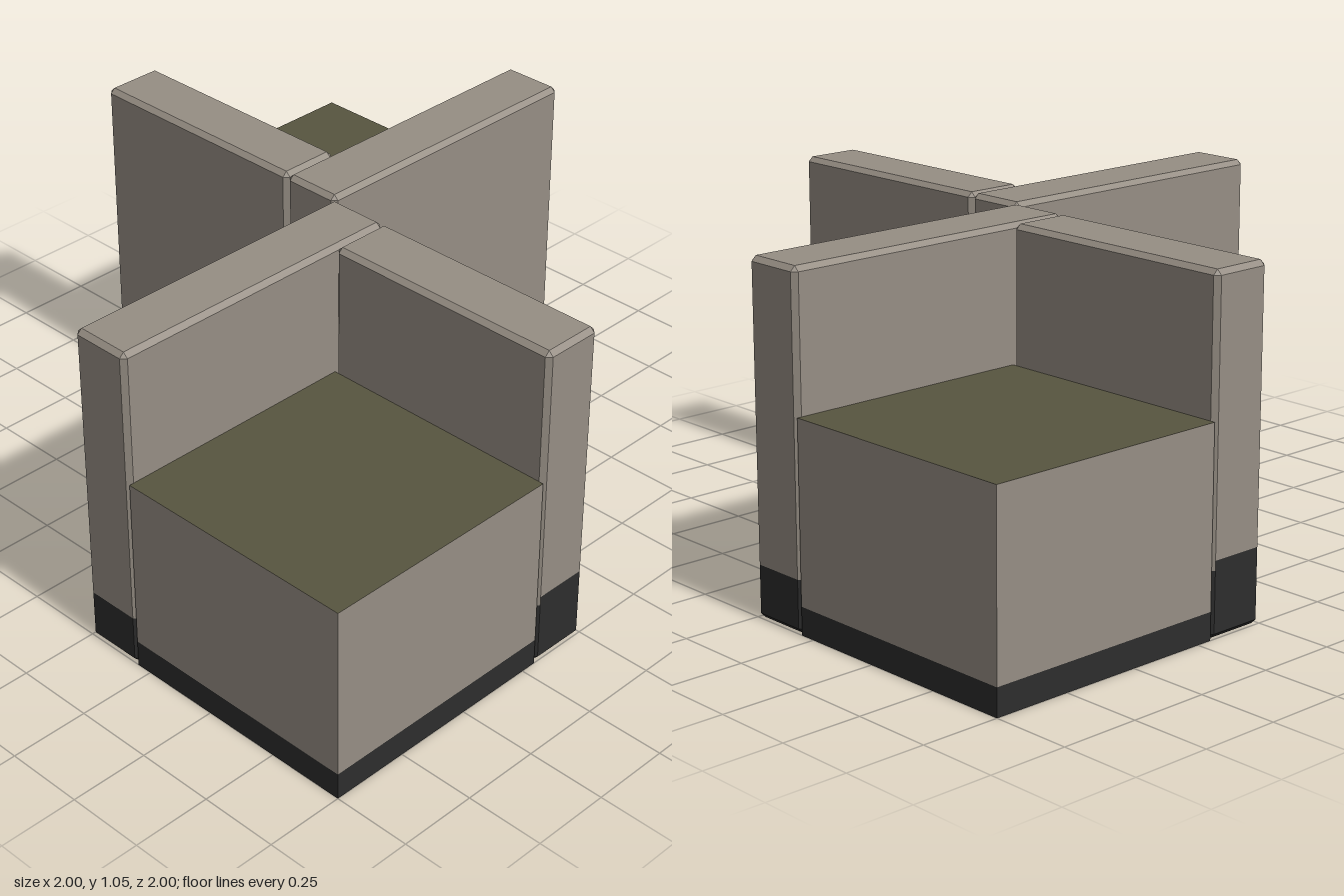
import * as THREE from 'three';

const HEIGHT = 1.05;
const BEVEL = 0.015;

const fabric = new THREE.MeshStandardMaterial({ name: 'taupe fabric', color: 0x968e84 });
const plinth = new THREE.MeshStandardMaterial({ name: 'charcoal base', color: 0x2d2d2d });
const cushion = new THREE.MeshStandardMaterial({ name: 'olive cushion', color: 0x575540 });

// Bevelled upright panel; bands = base height on the front, right, back and left faces
function panel(name, x0, x1, z0, z1, bands) {
  const c = BEVEL;
  // Two points per face, running front, right, back, left; inset rings collapse onto the corners
  const ring = (inset) => {
    const a = inset ? c : 0;
    return [
      [x0 + c, z1 - a], [x1 - c, z1 - a],
      [x1 - a, z1 - c], [x1 - a, z0 + c],
      [x1 - c, z0 + a], [x0 + c, z0 + a],
      [x0 + a, z0 + c], [x0 + a, z1 - c],
    ];
  };
  const outer = ring(false), inner = ring(true);
  const parts = [[], []]; // fabric, base
  const tri = (out, ...pts) => pts.forEach((p) => out.push(...p));
  const at = (loop, i, y) => [loop[i % 8][0], y, loop[i % 8][1]];
  const quad = (out, i, lowLoop, lowY, highLoop, highY) => {
    const a = at(lowLoop, i, lowY), b = at(lowLoop, i + 1, lowY);
    const d = at(highLoop, i, highY), e = at(highLoop, i + 1, highY);
    const same = (p, q) => Math.hypot(p[0] - q[0], p[2] - q[2]) < 1e-6;
    if (!same(a, b)) tri(out, a, b, e);
    if (!same(d, e)) tri(out, a, e, d);
  };
  for (let i = 0; i < 8; i++) {
    const band = bands[i >> 1];
    quad(parts[1], i, inner, 0, outer, c);
    quad(parts[1], i, outer, c, outer, band);
    quad(parts[0], i, outer, band, outer, HEIGHT - c);
    quad(parts[0], i, outer, HEIGHT - c, inner, HEIGHT);
  }
  // Top and underside
  const top = [0, 1, 4, 5].map((i) => at(inner, i, HEIGHT));
  const low = [0, 1, 4, 5].map((i) => at(inner, i, 0));
  tri(parts[0], top[0], top[1], top[2], top[0], top[2], top[3]);
  tri(parts[1], low[0], low[2], low[1], low[0], low[3], low[2]);

  const geometry = new THREE.BufferGeometry();
  geometry.setAttribute('position', new THREE.Float32BufferAttribute(parts.flat(), 3));
  geometry.addGroup(0, parts[0].length / 3, 0);
  geometry.addGroup(parts[0].length / 3, parts[1].length / 3, 1);
  geometry.computeVertexNormals();
  const mesh = new THREE.Mesh(geometry, [fabric, plinth]);
  mesh.name = name;
  return mesh;
}

// Square seat block section between two heights
function seatBlock(name, y0, y1, material) {
  const mesh = new THREE.Mesh(new THREE.BoxGeometry(0.8, y1 - y0, 0.8), material);
  mesh.position.set(0.6, (y0 + y1) / 2, 0.6);
  mesh.name = name;
  return mesh;
}

function cornerSeat(name) {
  const seat = new THREE.Group();
  seat.name = name;
  seat.add(
    panel('longPanel', 0, 0.2, 0, 1, [0.16, 0.2, 0.22, 0.22]),
    panel('shortPanel', 0.2, 1, 0, 0.2, [0.2, 0.23, 0.17, 0.2]),
    seatBlock('seatBase', 0, 0.085, plinth),
    // Olive top face, fabric sides
    seatBlock('seat', 0.085, 0.63, [fabric, fabric, cushion, fabric, fabric, fabric]),
  );
  return seat;
}

export function createModel() {
  const model = new THREE.Group();
  model.name = 'cornerSeatPair';
  const front = cornerSeat('frontSeat');
  const back = cornerSeat('backSeat');
  back.rotation.y = Math.PI; // same seat turned back to back
  model.add(front, back);
  return model;
}
